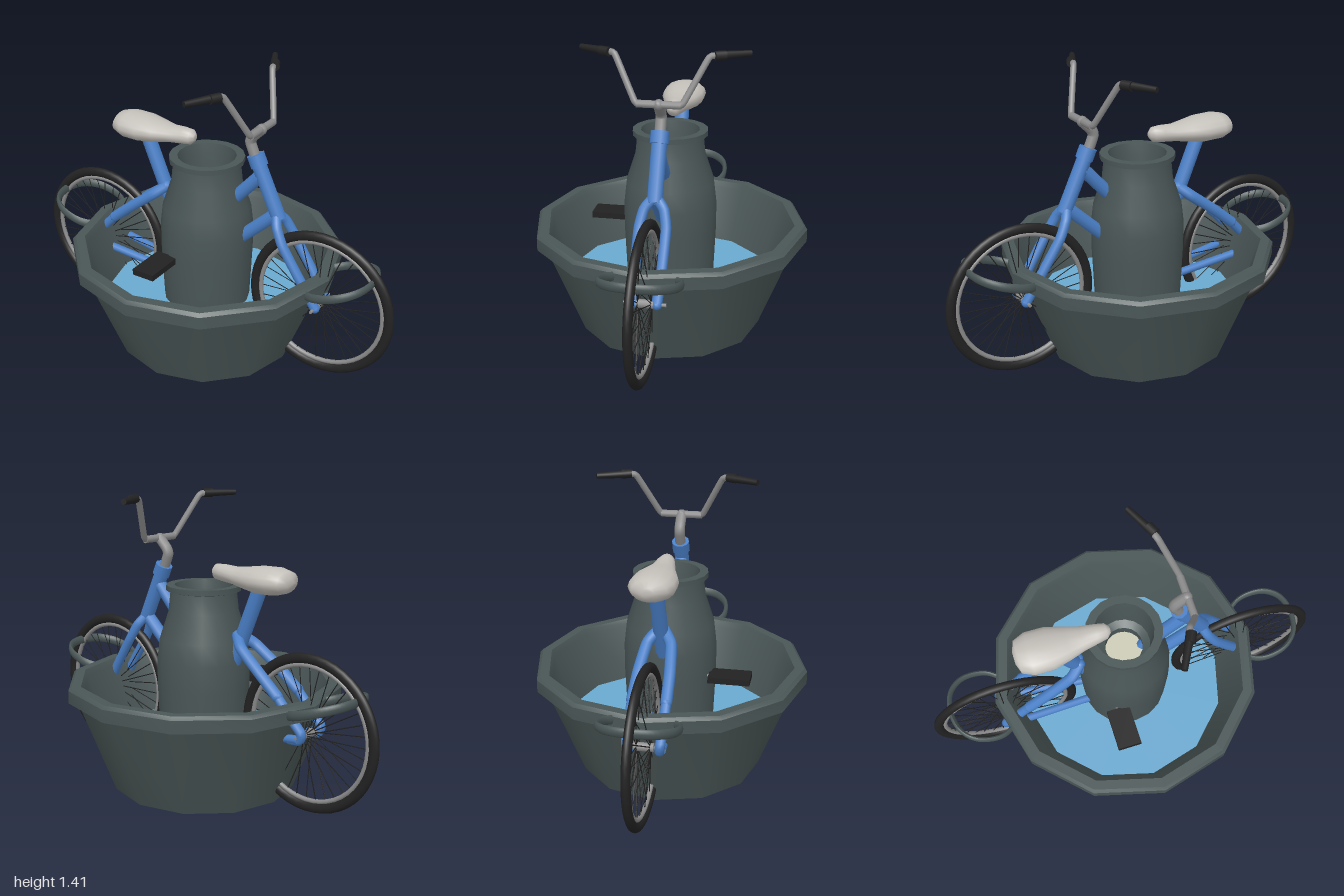
import * as THREE from 'three';
import { toCreasedNormals } from 'three/addons/utils/BufferGeometryUtils.js';

const mat = (color, side = THREE.FrontSide) => new THREE.MeshStandardMaterial({ color, side });
const iron = mat(0x4a5656, THREE.DoubleSide);
const blue = mat(0x4a80c8);
const black = mat(0x222222);
const grey = mat(0x8a8a8a);
const cream = mat(0xc4c0ba);
const water = mat(0x6aa9d0);
const milk = mat(0xccccb8);

const V = (p) => new THREE.Vector3(...p);

function add(parent, name, geometry, material) {
  const mesh = new THREE.Mesh(geometry, material);
  mesh.name = name;
  parent.add(mesh);
  return mesh;
}

// Straight round bar between two points
function bar(parent, name, a, b, r0, material, r1 = r0, sides = 10) {
  const from = V(a), dir = V(b).sub(from);
  const mesh = add(parent, name, new THREE.CylinderGeometry(r1, r0, dir.length(), sides), material);
  mesh.position.copy(from).addScaledVector(dir, 0.5);
  mesh.quaternion.setFromUnitVectors(new THREE.Vector3(0, 1, 0), dir.normalize());
  return mesh;
}

// Bent round tube through points, with rounded ends
function pipe(parent, name, points, r, material) {
  const curve = new THREE.CatmullRomCurve3(points.map(V), false, 'catmullrom', 0.25);
  add(parent, name, new THREE.TubeGeometry(curve, points.length * 6, r, 10), material);
  for (const p of [points[0], points[points.length - 1]]) {
    add(parent, name + 'End', new THREE.SphereGeometry(r, 10, 6), material).position.set(...p);
  }
}

function lathe(parent, name, profile, sides, material, crease = 0.7) {
  const geo = new THREE.LatheGeometry(profile.map((p) => new THREE.Vector2(...p)), sides);
  return add(parent, name, toCreasedNormals(geo, crease), material);
}

const mirrorZ = (points, s) => points.map(([x, y, z]) => [x, y, z * s]);

// Saddle lofted from oval sections: x, half width, bottom, top
function saddleGeometry() {
  const sections = [
    [-0.512, 0.03, 1.025, 1.07], [-0.495, 0.08, 1.0, 1.1], [-0.44, 0.105, 0.985, 1.112],
    [-0.35, 0.104, 0.983, 1.11], [-0.27, 0.083, 0.995, 1.098], [-0.2, 0.06, 1.008, 1.09],
    [-0.13, 0.046, 1.014, 1.095], [-0.085, 0.036, 1.02, 1.093], [-0.066, 0.016, 1.04, 1.075],
  ];
  const n = 16, pos = [], idx = [];
  for (const [x, w, lo, hi] of sections) {
    for (let j = 0; j < n; j++) {
      const a = (j / n) * Math.PI * 2;
      pos.push(x, (lo + hi) / 2 + Math.sin(a) * (hi - lo) / 2, Math.cos(a) * w);
    }
  }
  const last = sections.length - 1;
  for (let i = 0; i < last; i++) {
    for (let j = 0; j < n; j++) {
      const a = i * n + j, b = i * n + (j + 1) % n;
      idx.push(a, a + n, b, b, a + n, b + n);
    }
  }
  for (let j = 1; j < n - 1; j++) {
    idx.push(0, j, j + 1, last * n, last * n + j + 1, last * n + j);
  }
  const geo = new THREE.BufferGeometry();
  geo.setAttribute('position', new THREE.Float32BufferAttribute(pos, 3));
  geo.setIndex(idx);
  geo.computeVertexNormals();
  return geo;
}

// Flattened, upward sloping loop handle on the +x side of the tub
function handleGeometry() {
  const half = [[0.6, 0.125], [0.66, 0.165], [0.72, 0.175], [0.8, 0.158], [0.86, 0.1]];
  const pts = [...half, [0.882, 0], ...half.slice().reverse().map(([x, z]) => [x, -z])];
  const curve = new THREE.CatmullRomCurve3(pts.map(([x, z]) => new THREE.Vector3(x, 0, z)));
  const geo = new THREE.TubeGeometry(curve, 40, 0.012, 8);
  const p = geo.attributes.position;
  for (let i = 0; i < p.count; i++) {
    p.setY(i, p.getY(i) * 1.9 + 0.49 + (p.getX(i) - 0.6) * 0.31);
  }
  geo.computeVertexNormals();
  return geo;
}

function wheel(name, x) {
  const g = new THREE.Group();
  g.name = name;
  g.position.set(x, 0.38, 0);
  add(g, 'tyre', new THREE.TorusGeometry(0.346, 0.024, 10, 48), black).scale.z = 0.85;
  add(g, 'wheelRim', new THREE.TorusGeometry(0.315, 0.011, 8, 48), grey);
  bar(g, 'hub', [0, 0, -0.045], [0, 0, 0.045], 0.02, grey);
  bar(g, 'axle', [0, 0, -0.095], [0, 0, 0.095], 0.008, grey);
  const count = 36;
  for (let i = 0; i < count; i++) {
    const a = (i / count) * Math.PI * 2;
    const c = Math.cos(a), s = Math.sin(a);
    bar(g, 'spoke', [c * 0.018, s * 0.018, i % 2 ? 0.03 : -0.03], [c * 0.312, s * 0.312, 0], 0.0025, black, 0.0025, 4);
  }
  return g;
}

function createModel() {
  const model = new THREE.Group();
  model.name = 'bicycleFountain';

  // Tub with thick rim, water and two loop handles
  lathe(model, 'tub', [
    [0, 0.002], [0.445, 0], [0.622, 0.455], [0.665, 0.455], [0.665, 0.515], [0.65, 0.53],
    [0.605, 0.53], [0.59, 0.5], [0.5, 0.2], [0, 0.2],
  ], 12, iron);
  lathe(model, 'water', [[0.512, 0.23], [0, 0.23]], 12, water);
  for (const s of [1, -1]) {
    add(model, 'tubHandle', handleGeometry(), iron).rotation.y = s > 0 ? 0 : Math.PI;
  }

  // Churn standing in the middle
  lathe(model, 'churn', [
    [0.212, 0.2], [0.225, 0.5], [0.225, 0.63], [0.213, 0.73], [0.17, 0.86], [0.16, 0.955],
    [0.18, 0.96], [0.18, 0.985], [0.14, 0.985], [0.132, 0.93], [0.125, 0.82], [0.09, 0.8], [0.09, 0.74],
  ], 18, iron, 0.55);
  lathe(model, 'churnFilling', [[0.1, 0.75], [0, 0.75]], 18, milk);

  model.add(wheel('rearWheel', -0.627), wheel('frontWheel', 0.627));

  // Frame
  const frame = new THREE.Group();
  frame.name = 'frame';
  model.add(frame);
  bar(frame, 'seatTube', [-0.05, 0.3, 0], [-0.34, 1.0, 0], 0.036, blue);
  bar(frame, 'headTube', [0.395, 0.76, 0], [0.265, 1.04, 0], 0.036, blue);
  bar(frame, 'headCollar', [0.285, 1.0, 0], [0.262, 1.052, 0], 0.043, blue);
  bar(frame, 'upperTube', [-0.12, 0.5, 0], [0.29, 0.95, 0], 0.032, blue);
  bar(frame, 'downTube', [-0.05, 0.38, 0], [0.37, 0.77, 0], 0.032, blue);
  bar(frame, 'bottomBracket', [-0.05, 0.32, -0.06], [-0.05, 0.32, 0.06], 0.04, blue);
  for (const s of [1, -1]) {
    pipe(frame, 'forkBlade', mirrorZ([
      [0.385, 0.78, 0.008], [0.41, 0.735, 0.045], [0.45, 0.66, 0.061], [0.54, 0.52, 0.06], [0.628, 0.38, 0.053],
    ], s), 0.024, blue);
    pipe(frame, 'seatStay', mirrorZ([
      [-0.225, 0.77, 0.015], [-0.28, 0.725, 0.055], [-0.4, 0.635, 0.072], [-0.51, 0.545, 0.077],
    ], s), 0.027, blue);
    pipe(frame, 'seatStayTip', mirrorZ([
      [-0.51, 0.545, 0.077], [-0.6, 0.45, 0.078], [-0.645, 0.4, 0.075], [-0.63, 0.365, 0.07], [-0.58, 0.36, 0.07],
    ], s), 0.023, blue);
    bar(frame, 'chainStay', [-0.63, 0.37, 0.078 * s], [-0.05, 0.3, 0.04 * s], 0.02, blue);
  }

  // Cranks and pedals, one raised and one lowered
  for (const s of [1, -1]) {
    const x = -0.05 - 0.045 * s, y = 0.32 + 0.18 * s;
    bar(model, 'crankArm', [-0.05, 0.32, s * 0.07], [x, y, s * 0.16], 0.014, grey);
    bar(model, 'pedalAxle', [x, y, s * 0.15], [x, y, s * 0.25], 0.01, grey);
    const pedal = add(model, 'pedal', new THREE.BoxGeometry(0.115, 0.03, 0.2), black);
    pedal.position.set(x, y, s * 0.305);
  }

  // Saddle
  add(model, 'saddle', saddleGeometry(), cream);

  // Stem, handlebar and grips
  pipe(model, 'stem', [[0.27, 1.02, 0], [0.235, 1.105, 0], [0.245, 1.135, 0], [0.29, 1.18, 0]], 0.026, grey);
  bar(model, 'crossbar', [0.292, 1.182, -0.1], [0.292, 1.182, 0.1], 0.018, grey);
  for (const s of [1, -1]) {
    pipe(model, 'handlebar', mirrorZ([
      [0.292, 1.182, 0.09], [0.288, 1.195, 0.11], [0.222, 1.375, 0.205], [0.212, 1.39, 0.225], [0.19, 1.392, 0.28],
    ], s), 0.015, grey);
    bar(model, 'grip', [0.212, 1.391, 0.235 * s], [0.135, 1.391, 0.385 * s], 0.02, black, 0.014);
    bar(model, 'gripCollar', [0.218, 1.391, 0.235 * s], [0.196, 1.391, 0.28 * s], 0.022, black);
  }
  return model;
}

export { createModel };
